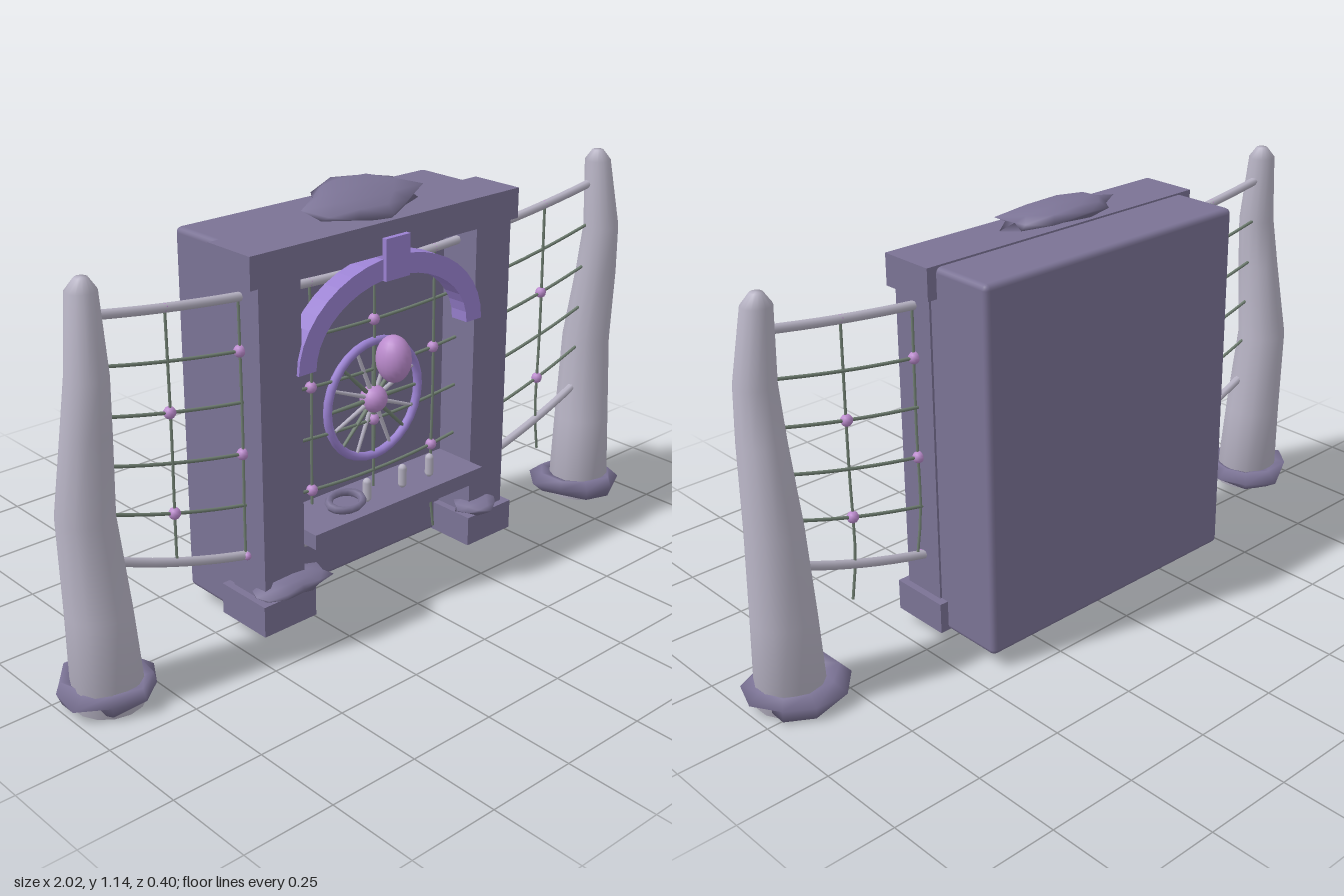
import * as THREE from 'three';
import { mergeVertices } from 'three/addons/utils/BufferGeometryUtils.js';
import { RoundedBoxGeometry } from 'three/addons/geometries/RoundedBoxGeometry.js';

const mat = (name, color) => Object.assign(new THREE.MeshStandardMaterial({ color }), { name });

export function createModel() {
  const group = new THREE.Group();
  const stone = mat('slate stone', 0x7b7395);
  const bone = mat('pale bone', 0xb9b5c6);
  const violet = mat('violet trim', 0x9b82d2);
  const pink = mat('pink orchid', 0xbb8bcd);
  const cordMat = mat('green cord', 0x718073);

  const add = (name, geo, material, x = 0, y = 0, z = 0) => {
    const m = new THREE.Mesh(geo, material);
    m.name = name;
    m.position.set(x, y, z);
    group.add(m);
    return m;
  };
  // Box from its minimum and maximum corners
  const box = (name, material, x0, x1, y0, y1, z0, z1) =>
    add(name, new THREE.BoxGeometry(x1 - x0, y1 - y0, z1 - z0), material,
      (x0 + x1) / 2, (y0 + y1) / 2, (z0 + z1) / 2);
  // Weld vertices so that shading is smooth
  const smooth = (geo) => {
    geo.deleteAttribute('uv');
    geo.deleteAttribute('normal');
    const g = mergeVertices(geo, 1e-4);
    g.computeVertexNormals();
    return g;
  };
  // Seeded radial wobble of a welded geometry
  const wobble = (geo, seed, amount) => {
    const g = smooth(geo);
    const p = g.attributes.position;
    let s = seed;
    for (let i = 0; i < p.count; i++) {
      s = (s * 16807) % 2147483647;
      const k = 1 + amount * ((s / 2147483647) * 2 - 1);
      p.setXYZ(i, p.getX(i) * k, p.getY(i) * k, p.getZ(i) * k);
    }
    g.computeVertexNormals();
    return g;
  };

  // Main block and the frame in front of it
  add('backBlock', new RoundedBoxGeometry(0.87, 1.015, 0.215, 2, 0.015), stone, 0, 0.5475, -0.0875);
  box('lintel', stone, -0.467, 0.463, 0.975, 1.06, -0.015, 0.145);
  for (const s of [-1, 1]) {
    const pillar = box('pillar', stone, 0.308, 0.44, 0.045, 0.98, 0.01, 0.14);
    const foot = box('foot', stone, 0.287, 0.46, 0.04, 0.127, -0.015, 0.16);
    pillar.position.x *= s;
    foot.position.x *= s;
  }
  box('shelf', stone, -0.309, 0.307, 0.25, 0.292, 0.01, 0.188);

  // Arch with keystone
  const arch = new THREE.Shape();
  arch.absellipse(0, 0, 0.325, 0.245, 0, Math.PI, false);
  arch.absellipse(0, 0, 0.268, 0.19, Math.PI, 0, true);
  arch.closePath();
  add('arch', new THREE.ExtrudeGeometry(arch, { depth: 0.055, bevelEnabled: false, curveSegments: 10 }),
    violet, 0, 0.722, 0.094);
  box('keystone', violet, -0.042, 0.042, 0.908, 1.02, 0.09, 0.16);

  // Curved side posts: [y, centre x, centre z, radius]
  const rows = [
    [1.085, 0.88, 0.073, 0.016], [1.055, 0.882, 0.073, 0.038], [0.86, 0.893, 0.09, 0.052],
    [0.72, 0.897, 0.078, 0.06], [0.5, 0.9, 0.052, 0.072], [0.25, 0.888, 0.062, 0.083],
    [0, 0.88, 0.07, 0.093],
  ];
  for (const s of [-1, 1]) {
    const n = rows.length - 1;
    const geo = new THREE.CylinderGeometry(1, 1, 1, 14, n);
    const p = geo.attributes.position;
    for (let i = 0; i < p.count; i++) {
      const [y, cx, cz, r] = rows[Math.round((0.5 - p.getY(i)) * n)];
      p.setXYZ(i, s * cx + p.getX(i) * r, y, cz + p.getZ(i) * r);
    }
    add('sidePost', smooth(geo), bone);

    // Rough stone collar at the foot of the post
    const collar = new THREE.TorusGeometry(0.098, 0.03, 5, 9).rotateX(Math.PI / 2);
    add('postCollar', wobble(collar, s > 0 ? 4711 : 9173, 0.16), stone, s * 0.872, 0.038, 0.063);
  }

  // Loose stones
  const rock = (name, w, h, d, seed, x, y, z) => {
    const g = wobble(new THREE.IcosahedronGeometry(1, 1), seed, 0.2);
    return add(name, g.scale(w / 2, h / 2, d / 2), stone, x, y, z);
  };
  rock('topStone', 0.36, 0.065, 0.22, 5501, 0.005, 1.095, 0.02).rotation.x = 0.2;
  rock('leftFootStone', 0.13, 0.04, 0.11, 8123, 0.34, 0.147, 0.135);
  rock('rightFootStone', 0.22, 0.05, 0.12, 3307, -0.35, 0.152, 0.14);

  // Net of sagging cords
  const cordZ = 0.07;
  const ends = [0.985, 0.86, 0.735, 0.61, 0.485, 0.36];
  const mids = [0.92, 0.775, 0.635, 0.49, 0.34, 0.19];
  const cordY = (i, x) => mids[i] + (ends[i] - mids[i]) * (x / 0.83) ** 2;
  const tube = (name, pts, r, material, segs) =>
    add(name, new THREE.TubeGeometry(new THREE.CatmullRomCurve3(pts), segs, r, 6), material);
  for (let i = 0; i < 6; i++) {
    const thick = i === 0 || i === 5;
    const pts = [];
    for (let k = -6; k <= 6; k++) {
      const x = (k / 6) * 0.87;
      pts.push(new THREE.Vector3(x, cordY(i, x), cordZ));
    }
    tube(thick ? 'mainCord' : 'thinCord', pts, thick ? 0.012 : 0.0045, thick ? bone : cordMat, 36);
  }
  // Hanging cords with a bead on every other crossing
  const tails = [0.3, 0.25, 0.31, 0.19, 0.09, 0.25, 0.2];
  for (let k = -3; k <= 3; k++) {
    const x = k === 0 ? 0 : Math.sign(k) * [0, 0.22, 0.446, 0.66][Math.abs(k)];
    const top = cordY(0, x), low = tails[k + 3];
    tube('hangingCord', [
      new THREE.Vector3(x, top, cordZ),
      new THREE.Vector3(x, (top + low) / 2, cordZ + 0.003),
      new THREE.Vector3(x, low + 0.12, cordZ),
      new THREE.Vector3(x + (k > 0 ? 0.015 : 0), low, cordZ),
    ], 0.004, cordMat, 10);
    for (let i = k % 2 === 0 ? 1 : 0; i < 6; i += 2) {
      const r = i === 0 || i === 5 ? 0.011 : 0.016;
      add('bead', new THREE.SphereGeometry(r, 10, 8), pink, x, cordY(i, x), cordZ + (i === 5 ? 0.007 : 0));
    }
  }

  // Spoked wheel in the net
  const wheel = new THREE.Group();
  wheel.name = 'wheel';
  wheel.position.set(0, 0.55, cordZ);
  group.add(wheel);
  const rim = new THREE.Mesh(new THREE.TorusGeometry(0.164, 0.012, 8, 32), violet);
  rim.name = 'wheelRim';
  wheel.add(rim);
  for (let i = 0; i < 16; i++) {
    const a = (i / 16) * Math.PI * 2;
    const spoke = new THREE.Mesh(new THREE.CylinderGeometry(0.0045, 0.0065, 0.14, 6), i % 2 ? bone : cordMat);
    spoke.name = 'spoke';
    spoke.position.set(Math.cos(a) * 0.095, Math.sin(a) * 0.095, 0);
    spoke.rotation.z = a - Math.PI / 2;
    wheel.add(spoke);
  }
  const hub = new THREE.Mesh(new THREE.SphereGeometry(0.038, 16, 12), pink);
  hub.name = 'hub';
  wheel.add(hub);

  // Egg-shaped gem above the hub
  add('gem', new THREE.SphereGeometry(1, 20, 14).scale(0.046, 0.065, 0.05), pink, 0, 0.685, 0.146);

  // Small things on the shelf
  for (const x of [-0.078, 0.052, 0.155]) {
    add('peg', new THREE.CapsuleGeometry(0.012, 0.045, 3, 8), bone, x, 0.326, 0.13);
  }
  const ring = new THREE.TorusGeometry(0.045, 0.011, 6, 14).rotateX(Math.PI / 2).scale(1.15, 1, 0.8);
  add('shelfRing', ring, stone, -0.155, 0.318, 0.13).rotation.x = 0.25;

  return group;
}
